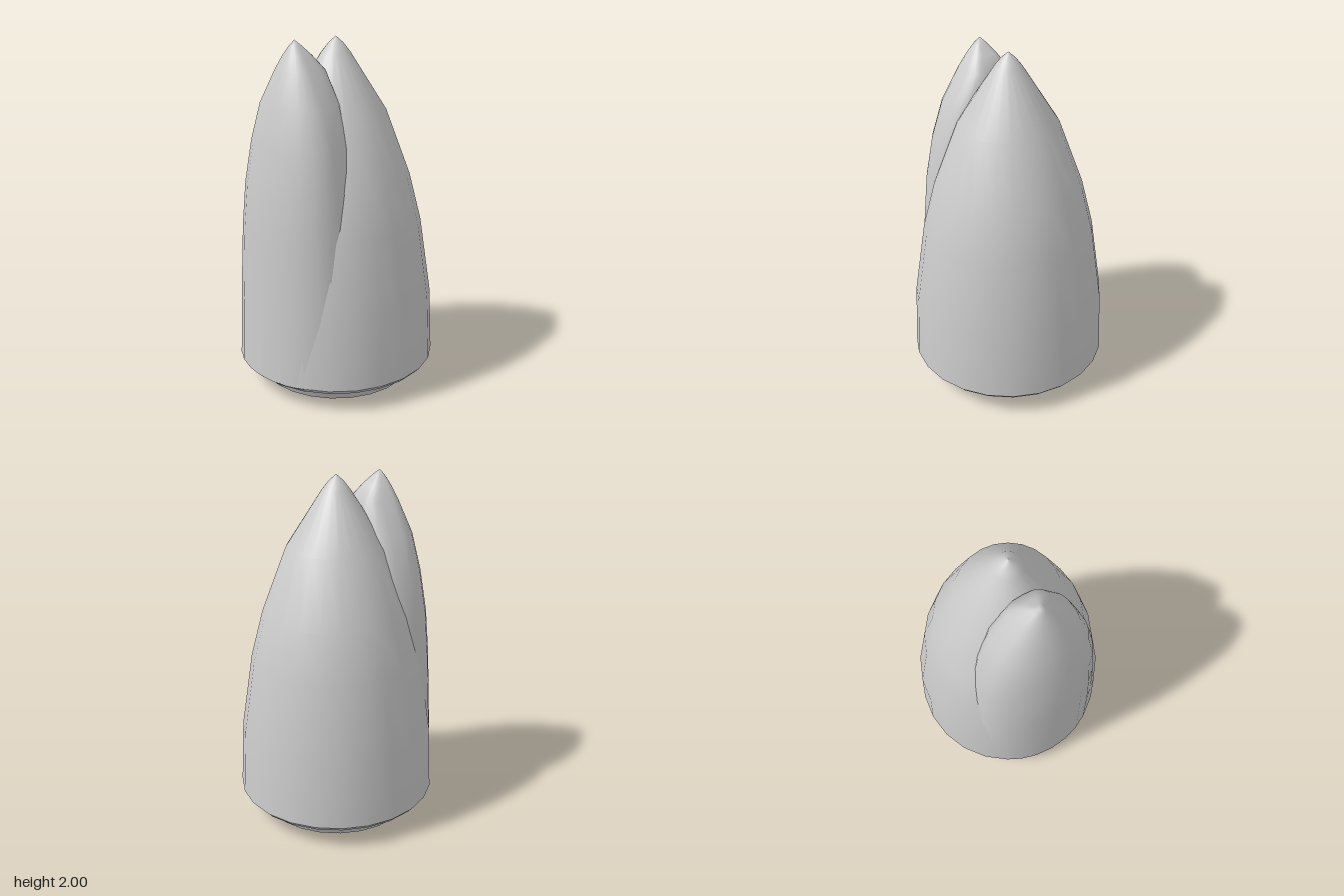
import * as THREE from 'three';

const material = new THREE.MeshStandardMaterial({ color: 0xcccccc, side: THREE.DoubleSide });
const SIDES = 24;

// Surface of revolution from [radius, height] pairs, listed bottom to top
function turned(name, profile) {
  const points = profile.map(([r, y]) => new THREE.Vector2(r, y));
  const mesh = new THREE.Mesh(new THREE.LatheGeometry(points, SIDES), material);
  mesh.name = name;
  return mesh;
}

// Side lobe: oval rings, slim at the front and fuller, squarer at the back
function makeLobe() {
  // [height, half width, front depth, back depth]
  const rings = [
    [0.13, 0.42, 0.29, 0.2], [0.52, 0.41, 0.275, 0.2], [0.95, 0.375, 0.262, 0.2],
    [1.21, 0.35, 0.24, 0.2], [1.45, 0.305, 0.202, 0.195], [1.66, 0.235, 0.16, 0.185],
    [1.84, 0.13, 0.092, 0.155], [1.92, 0.075, 0.055, 0.085], [1.97, 0.032, 0.026, 0.034],
  ];
  const positions = [], index = [];
  for (const [y, width, front, back] of rings) {
    for (let i = 0; i < SIDES; i++) {
      const angle = (i / SIDES) * Math.PI * 2;
      const s = Math.sin(angle), c = Math.cos(angle);
      const power = c < 0 ? 0.6 : 1;
      const x = Math.sign(s) * Math.abs(s) ** power * width;
      const z = c < 0 ? -(Math.abs(c) ** power) * back : c * front;
      positions.push(x, y, z);
    }
  }
  const tip = rings.length * SIDES;
  positions.push(0, 2, 0);
  for (let j = 0; j < rings.length; j++) {
    for (let i = 0; i < SIDES; i++) {
      const next = (i + 1) % SIDES;
      const a = j * SIDES + i, b = j * SIDES + next;
      if (j === rings.length - 1) index.push(a, b, tip);
      else index.push(a, b, b + SIDES, a, b + SIDES, a + SIDES);
    }
  }
  const geometry = new THREE.BufferGeometry();
  geometry.setAttribute('position', new THREE.Float32BufferAttribute(positions, 3));
  geometry.setIndex(index);
  geometry.computeVertexNormals();
  const mesh = new THREE.Mesh(geometry, material);
  mesh.name = 'frontLobe';
  mesh.position.z = 0.29;
  return mesh;
}

export function createModel() {
  const model = new THREE.Group();
  model.name = 'twinPointedBud';

  // Tall pointed main body
  model.add(turned('mainBody', [
    [0.58, 0.135], [0.56, 0.52], [0.492, 0.96], [0.422, 1.23], [0.282, 1.6],
    [0.08, 1.915], [0.04, 1.965], [0, 2],
  ]));

  // Second point merging into the front
  model.add(makeLobe());

  // Bevelled lower rim and its flat underside
  model.add(turned('rimBevel', [[0.555, 0.107], [0.58, 0.135]]));
  model.add(turned('rimUnderside', [[0.48, 0.11], [0.555, 0.107]]));

  // Short tapered foot closed by a shallow disc
  model.add(turned('footWall', [[0.45, 0.015], [0.495, 0.112]]));
  model.add(turned('footBase', [[0, 0], [0.45, 0.015]]));

  return model;
}
